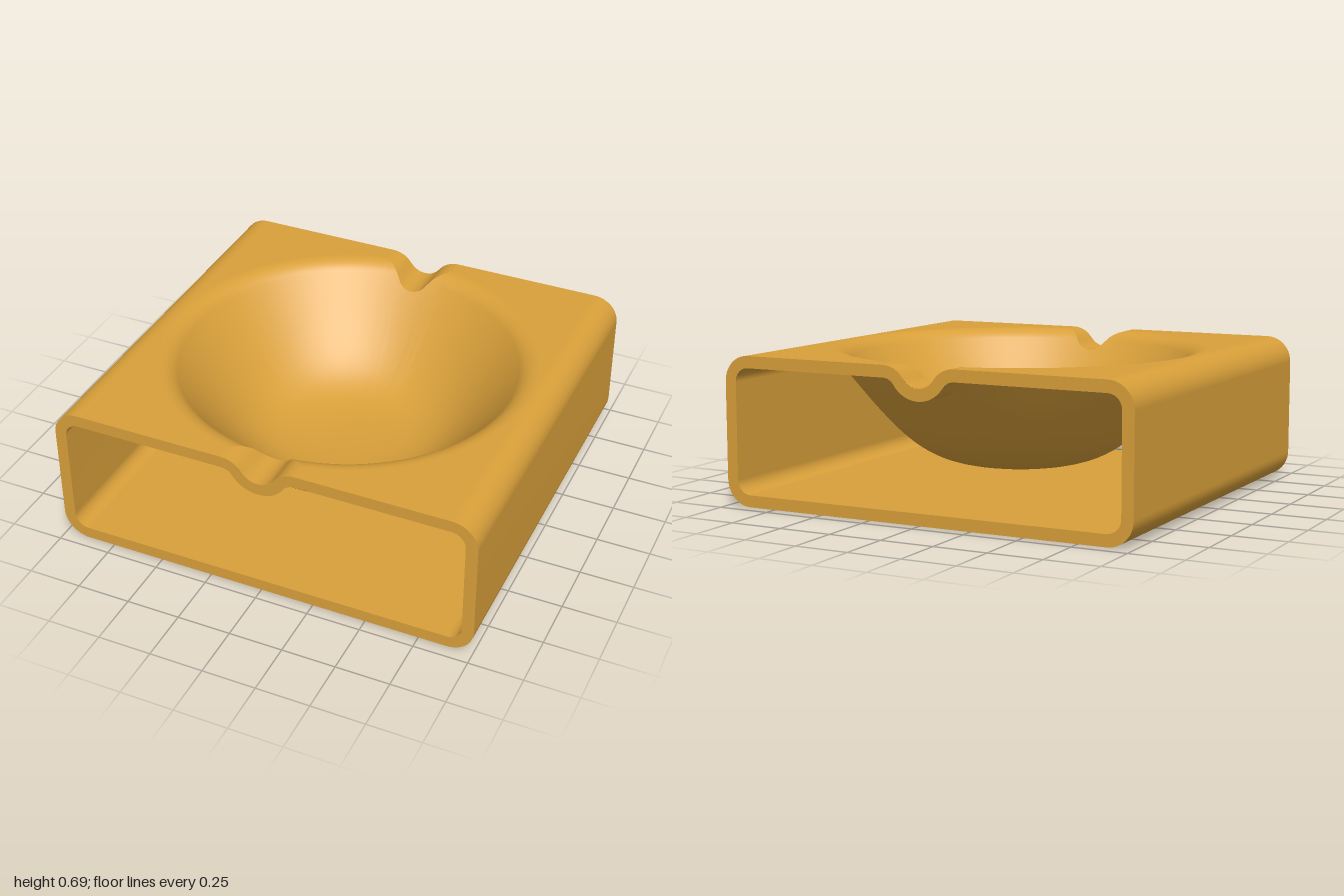
import * as THREE from 'three';
import { mergeVertices } from 'three/addons/utils/BufferGeometryUtils.js';

const DEPTH = 0.94;             // half length along z
const CX = 0.88;                // x of the corner centres, also the rim radius
const TOP = 0.565, BOTTOM = 0.12; // heights of the corner centres
const OUTER = 0.12, INNER = 0.065; // corner radii of the two skins
const BOWL_STEPS = 36, CURVE_STEPS = 24;
const LEAN = 0.9;               // steepness of the bowl wall at the rim

// Smooth grid surface from a function (i, j) -> [x, y, z]
function gridGeometry(cols, rows, point, flip) {
  const positions = [], index = [];
  for (let i = 0; i <= cols; i++) {
    for (let j = 0; j <= rows; j++) positions.push(...point(i, j));
  }
  for (let i = 0; i < cols; i++) {
    for (let j = 0; j < rows; j++) {
      const a = i * (rows + 1) + j, b = a + 1, c = a + rows + 1, d = c + 1;
      if (flip) index.push(a, c, b, b, c, d);
      else index.push(a, b, c, b, d, c);
    }
  }
  let geo = new THREE.BufferGeometry();
  geo.setAttribute('position', new THREE.Float32BufferAttribute(positions, 3));
  geo.setIndex(index);
  geo = mergeVertices(geo, 1e-5);
  geo.computeVertexNormals();
  return geo;
}

// Height of the top wall across x, with the rounded groove in the middle
function grooveHeight(x, d) {
  const reach = 0.21, dx = 0.174, lowY = 0.682, r = reach - d;
  const ax = Math.abs(x);
  if (ax >= dx) return TOP + d;
  if (ax < dx * r / reach) return lowY - Math.sqrt(r * r - ax * ax);
  return TOP + Math.sqrt(Math.max(0, d * d - (dx - ax) ** 2));
}

// Bowl profile [radius, height] from the centre out to the rim
function bowlProfile(d) {
  const s = Math.sin(LEAN), c = Math.cos(LEAN);
  const start = new THREE.Vector2(CX - INNER * s, TOP + INNER * c);
  const curve = new THREE.CubicBezierCurve(
    new THREE.Vector2(0, 0.128), new THREE.Vector2(0.43, 0.128),
    new THREE.Vector2(start.x - 0.53 * c, start.y - 0.53 * s), start);
  const pts = [], offset = d - INNER;
  for (let k = 0; k <= CURVE_STEPS; k++) {
    const p = curve.getPoint(k / CURVE_STEPS), t = curve.getTangent(k / CURVE_STEPS);
    pts.push([k ? p.x - t.y * offset : 0, p.y + t.x * offset]);
  }
  const n = BOWL_STEPS - CURVE_STEPS;
  for (let k = 1; k <= n; k++) {
    const a = LEAN * (1 - k / n);
    pts.push([CX - d * Math.sin(a), TOP + d * Math.cos(a)]);
  }
  return pts;
}

// Directions around the bowl, including the four corners of the deck
function directions() {
  const list = [], n = 320, corner = Math.atan2(DEPTH, CX);
  for (let i = 0; i <= n; i++) list.push(i / n * Math.PI * 2);
  list.push(corner, Math.PI - corner, Math.PI + corner, 2 * Math.PI - corner);
  return list.sort((a, b) => a - b);
}

// Bowl and surrounding deck of one skin, meeting along the groove's cut line
function topSkin(d, flip) {
  const profile = bowlProfile(d), angles = directions();
  const at = u => {
    const k = Math.min(BOWL_STEPS - 1, Math.floor(u * BOWL_STEPS)), f = u * BOWL_STEPS - k;
    return [0, 1].map(m => profile[k][m] * (1 - f) + profile[k + 1][m] * f);
  };
  const cuts = angles.map(a => {
    const above = u => {
      const [r, y] = at(u);
      return y - grooveHeight(r * Math.cos(a), d) > 1e-6;
    };
    if (!above(1)) return 1;
    let lo = 0, hi = 1;
    for (let k = 0; k < 40; k++) {
      const mid = (lo + hi) / 2;
      if (above(mid)) hi = mid; else lo = mid;
    }
    return lo;
  });
  const bowl = gridGeometry(angles.length - 1, BOWL_STEPS, (i, j) => {
    const [r, y] = at(cuts[i] * j / BOWL_STEPS);
    return [r * Math.cos(angles[i]), y, -r * Math.sin(angles[i])];
  }, flip);
  const deck = gridGeometry(angles.length - 1, 4, (i, j) => {
    const c = Math.cos(angles[i]), s = Math.sin(angles[i]);
    const edge = Math.min(CX / Math.max(1e-9, Math.abs(c)), DEPTH / Math.max(1e-9, Math.abs(s)));
    const r = THREE.MathUtils.lerp(at(cuts[i])[0], edge, j / 4);
    return [r * c, grooveHeight(r * c, d), -r * s];
  }, flip);
  return { bowl, deck };
}

// Rounded sides and base in cross-section, clockwise from the upper right
function sideSection(d) {
  const pts = [], n = 12;
  const corners = [[CX, TOP], [CX, BOTTOM], [-CX, BOTTOM], [-CX, TOP]];
  corners.forEach(([x, y], q) => {
    for (let k = 0; k <= n; k++) {
      const a = Math.PI / 2 * (1 - q - k / n);
      pts.push(new THREE.Vector2(x + d * Math.cos(a), y + d * Math.sin(a)));
    }
  });
  return pts;
}

// Closed cross-section including the grooved top
function fullSection(d) {
  const pts = sideSection(d);
  for (let k = 0; k <= 64; k++) {
    const x = -0.176 + 0.352 * k / 64;
    pts.push(new THREE.Vector2(x, grooveHeight(x, d)));
  }
  return pts;
}

export function createModel() {
  const group = new THREE.Group();
  group.name = 'ashtray';
  const material = new THREE.MeshStandardMaterial({ color: 0xd9a03a });
  const add = (name, geo) => {
    const mesh = new THREE.Mesh(geo, material);
    mesh.name = name;
    group.add(mesh);
    return mesh;
  };

  // Outer and inner skins of the shell
  for (const [label, d, flip] of [['outer', OUTER, false], ['inner', INNER, true]]) {
    const { bowl, deck } = topSkin(d, flip);
    add(label + 'Bowl', bowl);
    add(label + 'Deck', deck);
    const pts = sideSection(d);
    add(label + 'SidesAndBase', gridGeometry(pts.length - 1, 1,
      (i, j) => [pts[i].x, pts[i].y, j ? DEPTH : -DEPTH], flip));
  }

  // Flat wall edges at the open front and back
  const rim = new THREE.Shape(fullSection(OUTER));
  rim.holes.push(new THREE.Path(fullSection(INNER)));
  const rimGeo = new THREE.ShapeGeometry(rim);
  add('frontEdge', rimGeo).position.z = DEPTH;
  const back = add('backEdge', rimGeo);
  back.position.z = -DEPTH;
  back.rotation.y = Math.PI;
  return group;
}
